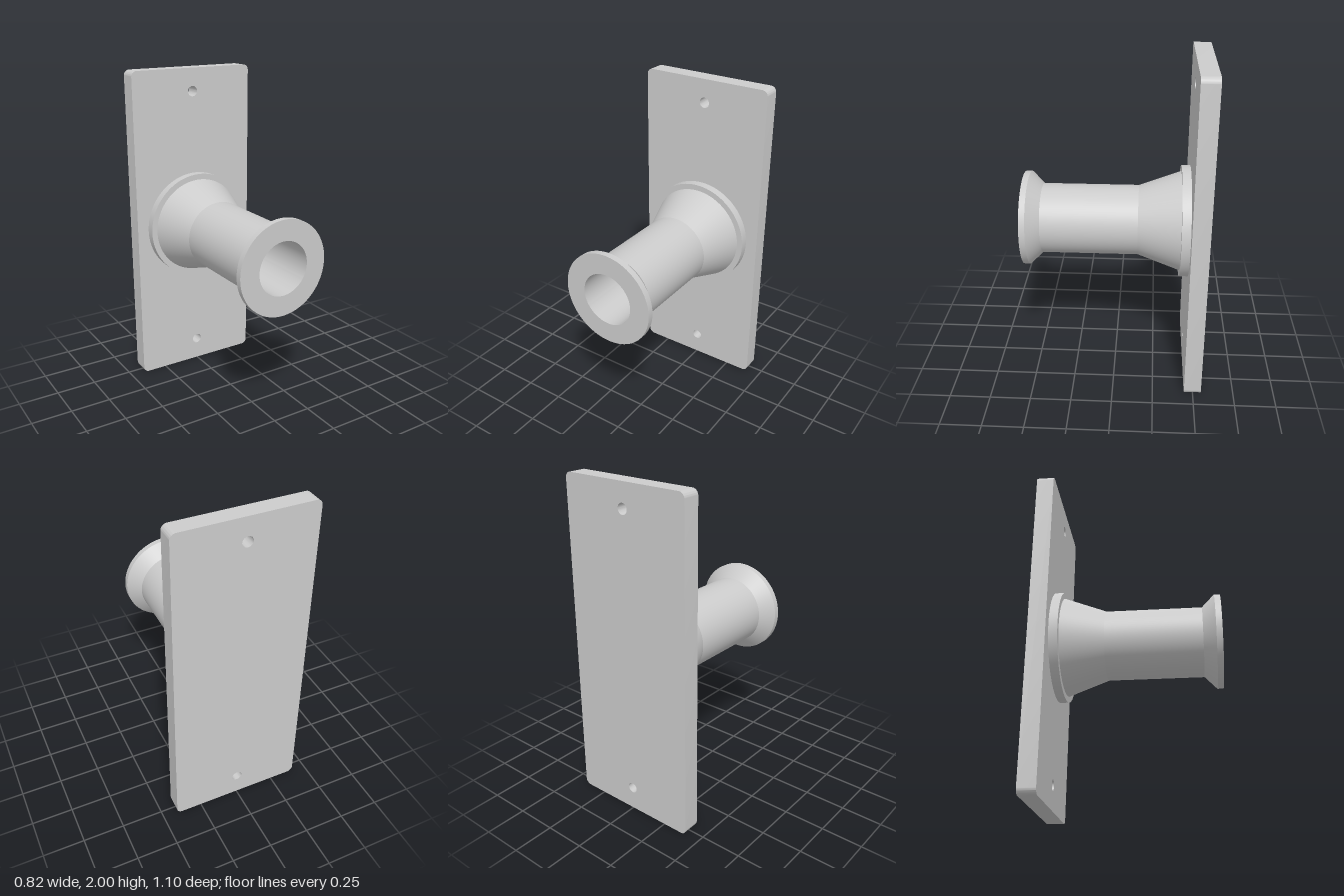
import * as THREE from 'three';
import { toCreasedNormals } from 'three/addons/utils/BufferGeometryUtils.js';

const MID = 1; // height of the barrel axis
const BACK = -0.55, FACE = -0.445; // back and front of the plate

export function createModel() {
  const group = new THREE.Group();
  const material = new THREE.MeshStandardMaterial({ color: 0xcccccc });

  const add = (name, geometry) => {
    const mesh = new THREE.Mesh(toCreasedNormals(geometry, 0.3), material);
    mesh.name = name;
    group.add(mesh);
    return mesh;
  };

  // Turned part about the z axis; profile is [radius, z]
  const turned = (name, profile) => {
    const points = profile.map(([r, z]) => new THREE.Vector2(r, z));
    const geometry = new THREE.LatheGeometry(points, 96);
    geometry.rotateX(Math.PI / 2);
    add(name, geometry).position.y = MID;
  };

  // Mounting plate with rounded corners and two screw holes
  const w = 0.411, h = 1, r = 0.035;
  const plate = new THREE.Shape();
  plate.absarc(w - r, h - r, r, 0, Math.PI / 2);
  plate.absarc(-w + r, h - r, r, Math.PI / 2, Math.PI);
  plate.absarc(-w + r, -h + r, r, Math.PI, Math.PI * 1.5);
  plate.absarc(w - r, -h + r, r, Math.PI * 1.5, Math.PI * 2);
  plate.closePath();
  for (const y of [-0.855, 0.857]) {
    plate.holes.push(new THREE.Path().absarc(0, y, 0.032, 0, Math.PI * 2, true));
  }
  const plateGeometry = new THREE.ExtrudeGeometry(plate, {
    depth: FACE - BACK, bevelEnabled: false, curveSegments: 16,
  });
  add('mountingPlate', plateGeometry).position.set(0, MID, BACK);

  // Stepped collar against the plate
  turned('collar', [[0.338, FACE], [0.338, -0.392], [0.302, -0.392]]);

  // Hollow barrel: tapered root, straight neck, flared rim, bore back to the plate
  turned('barrel', [
    [0.302, -0.392], [0.212, -0.14], [0.212, 0.44], [0.285, 0.514],
    [0.285, 0.55], [0.161, 0.55], [0.161, FACE],
  ]);

  return group;
}
